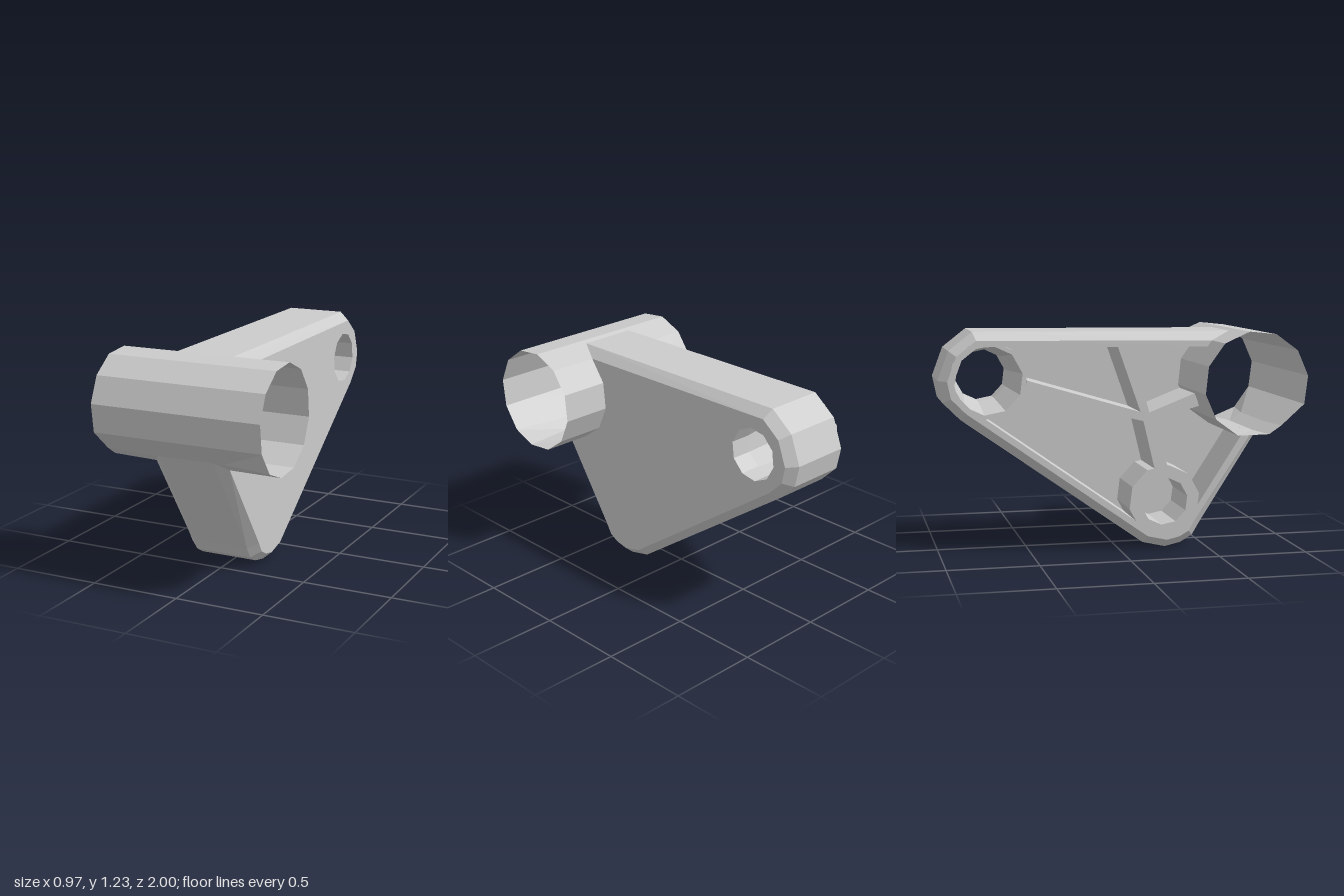
import * as THREE from 'three';

// Side profiles are lists of [z, y]; x is the thickness direction.
const material = new THREE.MeshStandardMaterial({
  color: 0xcccccc, flatShading: true, side: THREE.DoubleSide,
});
const FACE = 0.2, FLOOR = 0.08, RIM = -0.235;

function addMesh(group, name, geometry) {
  const mesh = new THREE.Mesh(geometry, material);
  mesh.name = name;
  group.add(mesh);
}

// Surface through a sequence of { path, x } sections
function loft(sections, closed = false) {
  const pos = [];
  for (let s = 0; s + 1 < sections.length; s++) {
    const a = sections[s], b = sections[s + 1], n = a.path.length;
    const put = (sec, i) => pos.push(sec.x, sec.path[i % n][1], sec.path[i % n][0]);
    for (let i = 0; i < (closed ? n : n - 1); i++) {
      put(a, i); put(a, i + 1); put(b, i);
      put(a, i + 1); put(b, i + 1); put(b, i);
    }
  }
  const g = new THREE.BufferGeometry();
  g.setAttribute('position', new THREE.Float32BufferAttribute(pos, 3));
  g.computeVertexNormals();
  return g;
}

// Solid slab of a profile between two x positions
function slab(shape, xHigh, xLow) {
  const g = new THREE.ExtrudeGeometry(shape, { depth: xHigh - xLow, bevelEnabled: false });
  g.rotateY(-Math.PI / 2);
  g.translate(xHigh, 0, 0);
  return g;
}

const toShape = (path) => new THREE.Shape(path.map(([z, y]) => new THREE.Vector2(z, y)));

function circle([z, y], r) {
  return Array.from({ length: 10 }, (_, i) => {
    const a = ((i + 0.3) / 10) * Math.PI * 2;
    return [z + r * Math.cos(a), y + r * Math.sin(a)];
  });
}

// Moves an open profile inward by d, with given end points
function inset(path, d, first, last) {
  return path.map((p, i) => {
    if (i === 0) return first;
    if (i === path.length - 1) return last;
    const normal = (a, b) => {
      const dz = b[0] - a[0], dy = b[1] - a[1], l = Math.hypot(dz, dy);
      return [-dy / l, dz / l];
    };
    const m = normal(path[i - 1], p), n = normal(p, path[i + 1]);
    const k = d / (1 + m[0] * n[0] + m[1] * n[1]);
    return [p[0] + (m[0] + n[0]) * k, p[1] + (m[1] + n[1]) * k];
  });
}

export function createModel() {
  const group = new THREE.Group();

  // Open cross tube; its underside bends slightly where it meets the arm
  const tubePath = [9, 39, 69, 99, 129, 159, 189, 219, 249].map((deg) => {
    const a = THREE.MathUtils.degToRad(deg);
    return [0.708 + 0.295 * Math.cos(a), 0.94 + 0.295 * Math.sin(a)];
  });
  const armCorner = [0.84, 0.705], armUnder = [0.77, 0.658];
  const tubeSection = (x, ...underside) => ({ path: [...tubePath, ...underside, [0.98, 0.83]], x });
  addMesh(group, 'crossTube', loft([
    tubeSection(0.485, [0.755, 0.65], [0.89, 0.705]),
    tubeSection(FACE, armUnder, armCorner),
    tubeSection(RIM, armUnder, armCorner),
    tubeSection(-0.485, [0.78, 0.668], [0.85, 0.715]),
  ], true));

  // Arm outline, from the tube top round the back and bottom to the tube underside
  const outer = [
    [0.64, 1.22], [-0.81, 1.232], [-0.94, 1.13], [-1, 0.97], [-0.975, 0.85], [-0.88, 0.755],
    [0.14, 0.03], [0.27, 0], [0.36, 0.02], [0.43, 0.06], [0.468, 0.125], armCorner,
  ];
  const chamfer = inset(outer, 0.046, tubePath[4], armUnder);
  const pocket = inset(outer, 0.08, [0.5, 1.135], [0.72, 0.66]);
  const tubeSide = tubePath.slice(5, 9).reverse();

  // Chamfered outer wall, rim and inner pocket wall
  addMesh(group, 'armWall', loft([
    { path: chamfer, x: FACE }, { path: outer, x: 0.145 }, { path: outer, x: -0.185 },
    { path: chamfer, x: RIM }, { path: pocket, x: RIM }, { path: pocket, x: FLOOR },
  ]));

  // Web with the through hole
  const backCentre = [-0.73, 0.97], lowerCentre = [0.255, 0.27];
  const web = toShape([...chamfer, ...tubeSide]);
  web.holes.push(toShape(circle(backCentre, 0.147)));
  addMesh(group, 'web', slab(web, FACE, FLOOR));

  // Bosses standing in the pocket: centre, outer radius, bore at the web and at the rim
  const bosses = [
    ['backBoss', backCentre, 0.215, 0.147, 0.19],
    ['lowerBoss', lowerCentre, 0.205, 0.135, 0.135],
  ];
  for (const [name, centre, radius, boreWeb, boreRim] of bosses) {
    addMesh(group, name, loft([
      { path: circle(centre, radius), x: FLOOR }, { path: circle(centre, radius), x: RIM },
      { path: circle(centre, boreRim), x: RIM }, { path: circle(centre, boreWeb), x: FLOOR },
    ], true));
  }

  // Ribs meeting at a hub, widening outwards
  const hub = [0.15, 0.745];
  for (const end of [[0.02, 1.16], [-0.53, 0.93], [0.235, 0.46], [0.44, 0.84]]) {
    const dz = end[0] - hub[0], dy = end[1] - hub[1], l = Math.hypot(dz, dy);
    const side = ([z, y], w) => [z - (dy / l) * w, y + (dz / l) * w];
    const rib = toShape([side(hub, 0.022), side(hub, -0.022), side(end, -0.038), side(end, 0.038)]);
    addMesh(group, 'rib', slab(rib, FLOOR, RIM));
  }

  return group;
}
